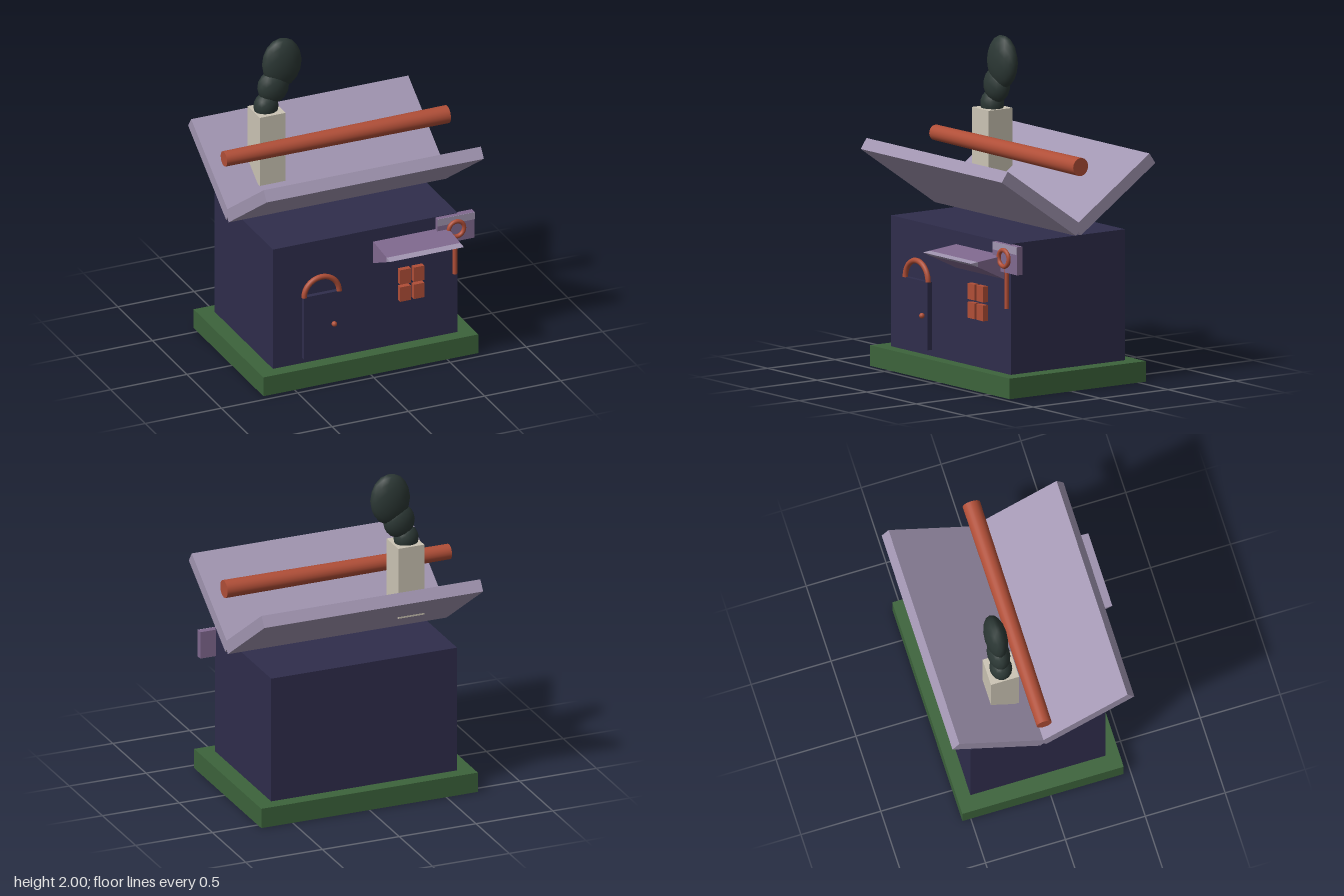
import * as THREE from 'three';

export function createModel() {
  const model = new THREE.Group();
  model.name = 'cottage';

  const mat = (name, color) => {
    const m = new THREE.MeshStandardMaterial({ color });
    m.name = name;
    return m;
  };
  const navy = mat('navy', 0x2f2d4c);
  const green = mat('green', 0x3c633b);
  const lavender = mat('lavender', 0xa195b1);
  const purple = mat('purple', 0x80698f);
  const orange = mat('orange', 0xb04e37);
  const cream = mat('cream', 0xcbc4b4);
  const soot = mat('soot', 0x2c3835);

  const add = (name, geometry, material, x = 0, y = 0, z = 0) => {
    const mesh = new THREE.Mesh(geometry, material);
    mesh.name = name;
    mesh.position.set(x, y, z);
    model.add(mesh);
    return mesh;
  };
  // box given by its minimum and maximum corners
  const box = (name, material, [x0, y0, z0], [x1, y1, z1]) =>
    add(name, new THREE.BoxGeometry(x1 - x0, y1 - y0, z1 - z0), material,
      (x0 + x1) / 2, (y0 + y1) / 2, (z0 + z1) / 2);

  const midZ = -0.048;

  // lawn and walls
  box('lawn', green, [-0.705, 0, -0.553], [0.705, 0.125, 0.457]);
  box('walls', navy, [-0.605, 0.125, -0.471], [0.605, 0.92, 0.375]);

  // butterfly roof: two mirrored slabs crossing at the valley
  for (const s of [1, -1]) {
    const slab = add(s > 0 ? 'frontRoof' : 'backRoof',
      new THREE.BoxGeometry(1.425, 0.076, 0.67), lavender, 0, 1.163, midZ + s * 0.272);
    slab.rotation.x = -s * 0.605;
  }

  // ridge pole, slightly thicker at its left end
  const pole = add('ridgePole', new THREE.CylinderGeometry(0.047, 0.055, 1.465, 24), orange,
    -0.002, 1.36, -0.05);
  pole.rotation.z = Math.PI / 2;

  // chimney and smoke puffs
  box('chimney', cream, [-0.466, 1.092, -0.3], [-0.297, 1.545, -0.123]);
  const puffs = [
    [-0.385, 1.57, 0.077, 0.085],
    [-0.338, 1.69, 0.1, 0.108],
    [-0.281, 1.838, 0.127, 0.162],
  ];
  for (const [x, y, rx, ry] of puffs) {
    const puff = new THREE.IcosahedronGeometry(1, 2).scale(rx, ry, 0.068);
    add('smokePuff', puff, soot, x, y, -0.213);
  }

  // door with arch and knob
  box('door', navy, [-0.418, 0.164, 0.381], [-0.185, 0.577, 0.412]);
  add('doorArch', new THREE.TorusGeometry(0.115, 0.017, 10, 24, Math.PI), orange, -0.301, 0.577, 0.408);
  add('doorKnob', new THREE.SphereGeometry(0.017, 12, 8), orange, -0.225, 0.37, 0.425);

  // four window panes
  for (const x of [0.214, 0.303])
    for (const y of [0.42, 0.534])
      box('windowPane', orange, [x, y, 0.376], [x + 0.07, y + 0.096, 0.41]);

  // wedge awning with a paler outer half; outline points are [z, y]
  const wedge = (name, material, points) => {
    const shape = new THREE.Shape(points.map(([z, y]) => new THREE.Vector2(-z, y)));
    const g = new THREE.ExtrudeGeometry(shape, { depth: 0.484, bevelEnabled: false });
    g.rotateY(Math.PI / 2);
    add(name, g, material, 0.052, 0, 0);
  };
  wedge('awningInner', purple, [[0.372, 0.695], [0.57, 0.79], [0.57, 0.82], [0.372, 0.84]]);
  wedge('awningLip', lavender, [[0.57, 0.79], [0.622, 0.815], [0.57, 0.82]]);

  // hanging sign: board, pale top band, ring and post
  box('signBoard', purple, [0.46, 0.746, 0.362], [0.706, 0.917, 0.403]);
  box('signBand', lavender, [0.46, 0.87, 0.403], [0.706, 0.917, 0.406]);
  add('signRing', new THREE.TorusGeometry(0.05, 0.0135, 10, 28), orange, 0.582, 0.833, 0.412);
  add('signPost', new THREE.CylinderGeometry(0.014, 0.014, 0.25, 12), orange, 0.582, 0.65, 0.39);

  return model;
}
